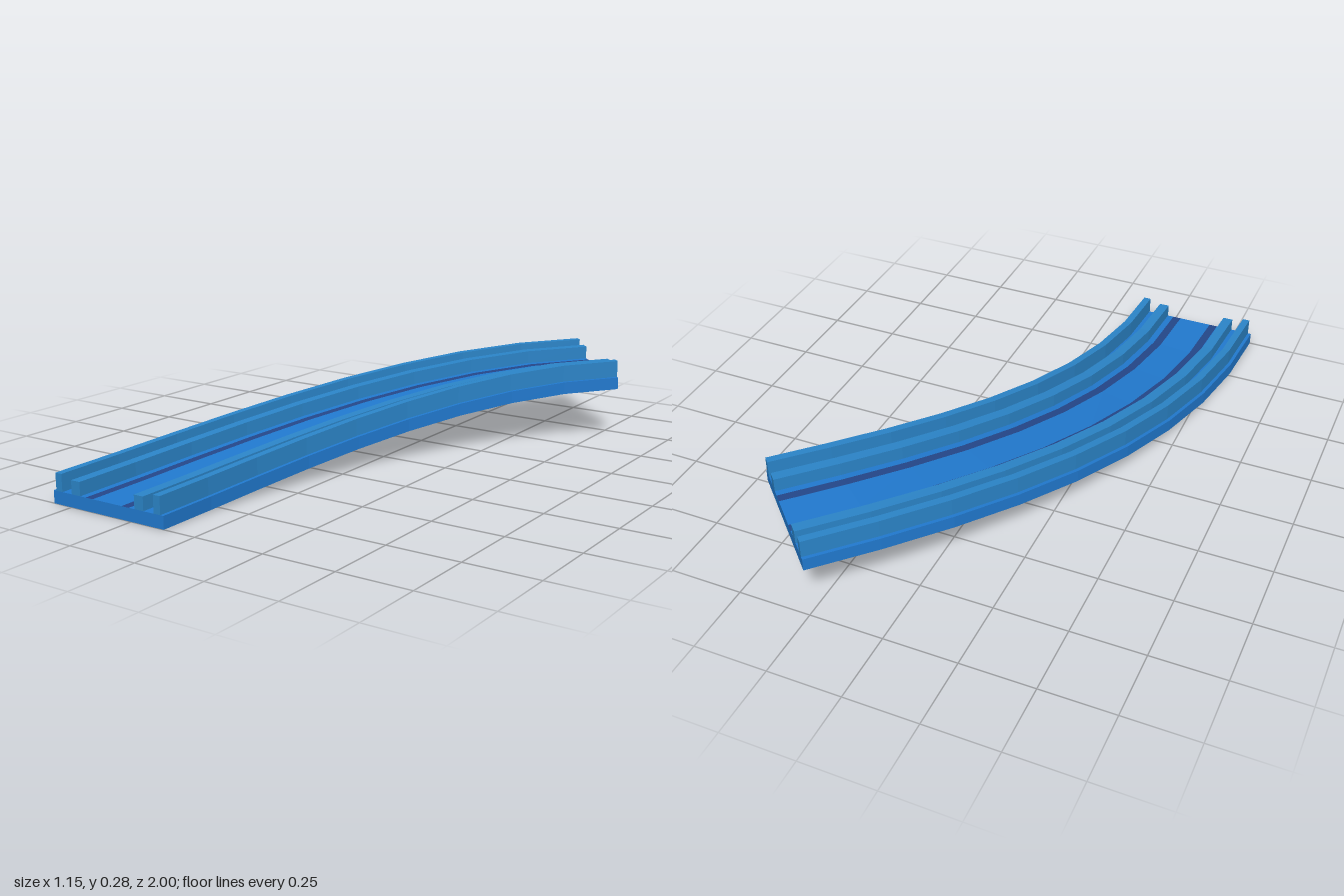
import * as THREE from 'three';

const RADIUS = 2.6, CENTRE_X = 2.253, START_Z = 1;
const TURN = Math.PI / 4, STEPS = 9, RISE = 0.183;

// Place a section point (offset across the track, height) at fraction t along the climbing bend
function place(t, [offset, y]) {
  const a = t * TURN, r = RADIUS - offset;
  const lift = RISE * t * t * (3 - 2 * t);
  return [CENTRE_X - r * Math.cos(a), y + lift, START_Z - r * Math.sin(a)];
}

// Sweep a counter-clockwise convex section; edges listed in marked go to material 1
function sweep(name, section, materials, marked = []) {
  const faces = [[], []];
  section.forEach((a, i) => {
    const b = section[(i + 1) % section.length];
    const out = faces[marked.includes(i) ? 1 : 0];
    for (let s = 0; s < STEPS; s++) {
      const t0 = s / STEPS, t1 = (s + 1) / STEPS;
      const a0 = place(t0, a), b0 = place(t0, b), a1 = place(t1, a), b1 = place(t1, b);
      out.push(...a0, ...a1, ...b1, ...a0, ...b1, ...b0);
    }
  });
  // End caps
  for (let i = 1; i < section.length - 1; i++) {
    const [p, q, r] = [section[0], section[i], section[i + 1]];
    faces[0].push(...place(0, p), ...place(0, q), ...place(0, r));
    faces[0].push(...place(1, p), ...place(1, r), ...place(1, q));
  }
  const geo = new THREE.BufferGeometry();
  geo.setAttribute('position', new THREE.Float32BufferAttribute([...faces[0], ...faces[1]], 3));
  geo.addGroup(0, faces[0].length / 3, 0);
  if (faces[1].length) geo.addGroup(faces[0].length / 3, faces[1].length / 3, 1);
  geo.computeVertexNormals();
  const mesh = new THREE.Mesh(geo, materials);
  mesh.name = name;
  return mesh;
}

function material(name, color) {
  const m = new THREE.MeshStandardMaterial({ color });
  m.name = name;
  return m;
}

export function createModel() {
  const group = new THREE.Group();
  group.name = 'curvedRampTrack';
  const baseBlue = material('baseBlue', 0x217ad0);
  const railBlue = material('railBlue', 0x2b85c9);
  const stripeNavy = material('stripeNavy', 0x24478a);

  // Road bed, with two dark stripes running along its top face
  const H = 0.043, W = 0.228;
  const bed = [[-W, 0], [W, 0], [W, H], [0.09, H], [0.06, H], [-0.06, H], [-0.09, H], [-W, H]];
  group.add(sweep('roadBed', bed, [baseBlue, stripeNavy], [3, 5]));

  // Paired guide rails and taller outer walls
  const rails = [['guideRail', 0.113, 0.149, 0.089], ['outerWall', 0.19, 0.216, 0.102]];
  for (const [name, inner, outer, top] of rails) {
    for (const side of [-1, 1]) {
      const lo = side > 0 ? inner : -outer, hi = side > 0 ? outer : -inner;
      const box = [[lo, H], [hi, H], [hi, top], [lo, top]];
      group.add(sweep(name + (side > 0 ? 'Left' : 'Right'), box, [railBlue]));
    }
  }
  return group;
}
